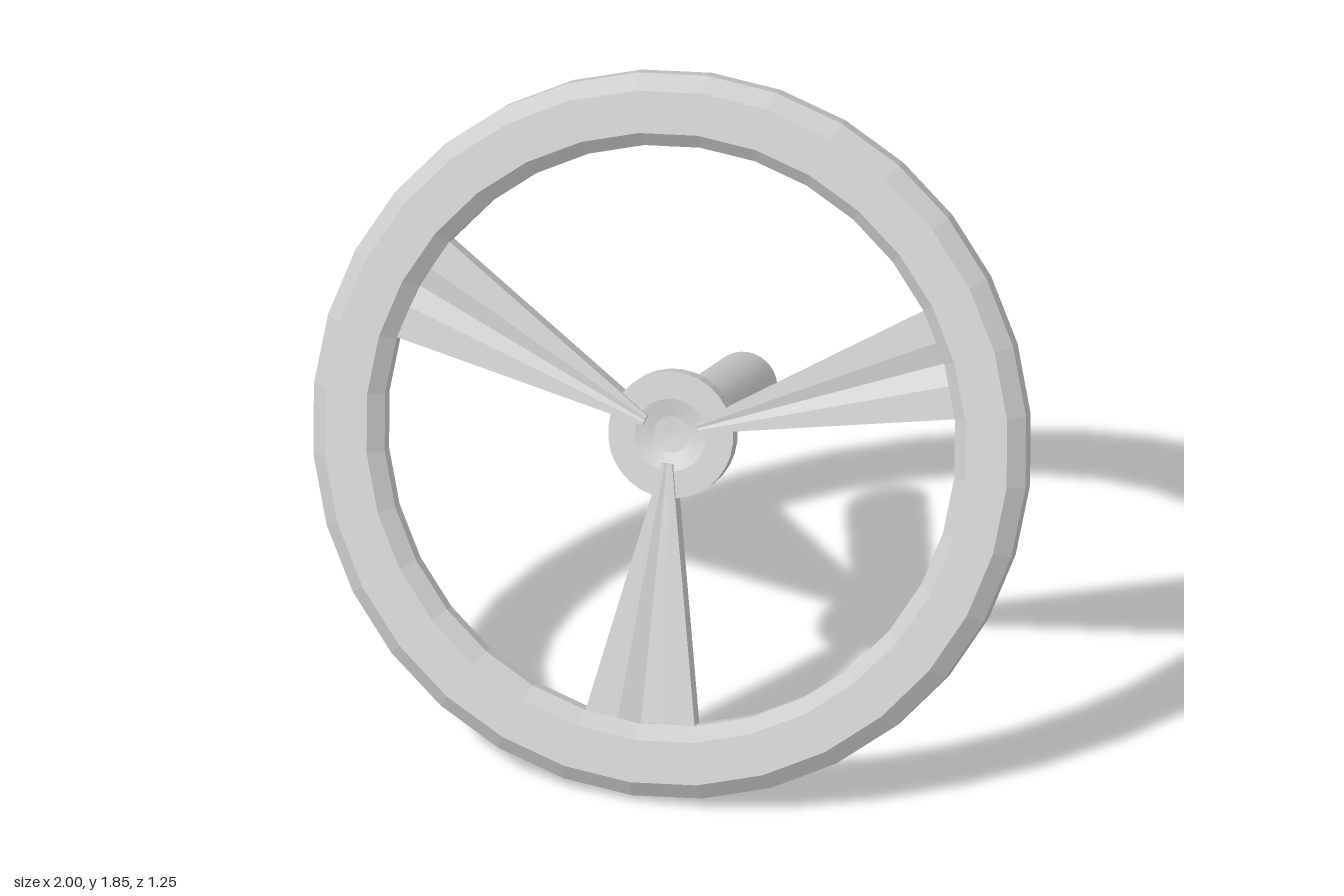
import * as THREE from 'three';

const flat = new THREE.MeshStandardMaterial({ color: 0xcccccc, flatShading: true });
const smooth = new THREE.MeshStandardMaterial({ color: 0xcccccc });

function add(parent, name, geometry, material = flat) {
  const mesh = new THREE.Mesh(geometry, material);
  mesh.name = name;
  parent.add(mesh);
  return mesh;
}

// Lathe turned so that its axis points along +z
function turned(profile, sides = 32) {
  const points = profile.map(([r, h]) => new THREE.Vector2(r, h));
  return new THREE.LatheGeometry(points, sides).rotateX(Math.PI / 2);
}

// Wedge spoke along +x: two end sections with a shallow V groove along the front
function spokeGeometry() {
  const section = (x, half) => [
    [x, -half, -0.03], [x, 0, -0.03], [x, half, -0.03], [x, half, 0.025],
    [x, half * 0.4, 0.025], [x, 0, 0.025 - half * 0.11], [x, -half * 0.4, 0.025], [x, -half, 0.025],
  ];
  const inner = section(0.08, 0.015);
  const outer = section(0.81, 0.158);
  const n = inner.length;
  const index = [];
  // The section runs counter-clockwise seen from +x
  for (let i = 0; i < n; i++) {
    const j = (i + 1) % n;
    index.push(i, j, j + n, i, j + n, i + n);
  }
  // End caps fan out from the middle of the back edge
  for (let k = 1; k < n - 1; k++) {
    const a = (1 + k) % n;
    const b = (2 + k) % n;
    index.push(1, b, a, n + 1, n + a, n + b);
  }
  const geometry = new THREE.BufferGeometry();
  geometry.setAttribute('position', new THREE.Float32BufferAttribute([...inner, ...outer].flat(), 3));
  geometry.setIndex(index);
  geometry.computeVertexNormals();
  return geometry;
}

export function createModel() {
  const model = new THREE.Group();
  model.name = 'steeringWheel';

  // Everything is built around the column axis, then tilted back
  const wheel = new THREE.Group();
  wheel.name = 'tiltedWheel';
  wheel.rotation.x = THREE.MathUtils.degToRad(-23.7);
  wheel.position.set(0, 0.928, 0.176);
  model.add(wheel);

  // Rim with an octagonal section
  add(wheel, 'rim', turned([
    [0.957, -0.069], [1, -0.026], [1, 0.026], [0.957, 0.069],
    [0.84, 0.069], [0.8, 0.026], [0.8, -0.026], [0.84, -0.069], [0.957, -0.069],
  ]));

  // Hub disc with a shallow dished centre
  add(wheel, 'hub', turned([
    [0, -0.035], [0.175, -0.035], [0.175, 0.016], [0.1, 0.016], [0.05, 0.002], [0, -0.001],
  ]));

  // Three spokes
  const spoke = spokeGeometry();
  [['leftSpoke', 22.5], ['rightSpoke', 157.5], ['lowerSpoke', 270]].forEach(([name, angle]) => {
    add(wheel, name, spoke).rotation.z = THREE.MathUtils.degToRad(angle);
  });

  // Steering column behind the hub
  const length = 0.805;
  const column = add(wheel, 'column',
    new THREE.CylinderGeometry(0.094, 0.094, length, 32).rotateX(Math.PI / 2), smooth);
  column.position.z = -0.026 - length / 2;

  return model;
}
